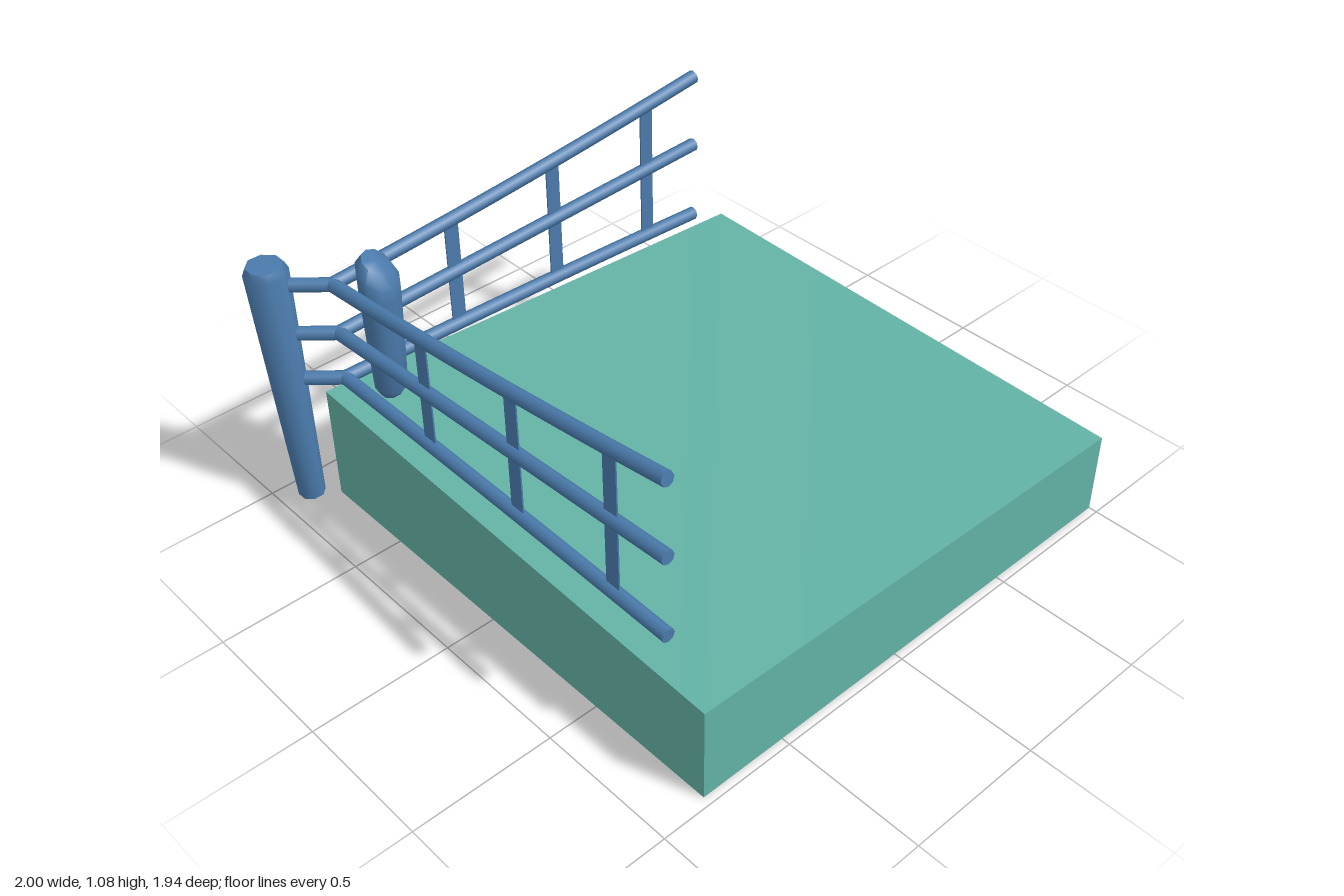
import * as THREE from 'three';
import { toCreasedNormals } from 'three/addons/utils/BufferGeometryUtils.js';

export function createModel() {
  const blue = new THREE.MeshStandardMaterial({ color: 0x4a7aab, side: THREE.DoubleSide });
  blue.name = 'blue';
  const teal = new THREE.MeshStandardMaterial({ color: 0x62b1a4, side: THREE.DoubleSide });
  teal.name = 'teal';

  const root = new THREE.Group();
  root.name = 'ringCorner';
  const V = (x, y, z) => new THREE.Vector3(x, y, z);
  const add = (name, geometry, material = blue) => {
    const mesh = new THREE.Mesh(geometry, material);
    mesh.name = name;
    root.add(mesh);
    return mesh;
  };
  // Apply a rule to every vertex
  const warp = (geometry, rule) => {
    const p = geometry.attributes.position, v = V(0, 0, 0);
    for (let i = 0; i < p.count; i++) {
      rule(v.fromBufferAttribute(p, i));
      p.setXYZ(i, v.x, v.y, v.z);
    }
    geometry.computeVertexNormals();
    return geometry;
  };
  const lathe = (points, sides) =>
    new THREE.LatheGeometry(points.map(([r, y]) => new THREE.Vector2(r, y)), sides);

  // Platform: hollow below, its top rising towards the back corner
  const X0 = -0.82, X1 = 1, Z0 = -0.845, Z1 = 0.97;
  const box = new THREE.BoxGeometry(1, 1, 1);
  box.setIndex([...box.index.array].filter((_, i) => i < 18 || i >= 24)); // no underside
  box.clearGroups();
  warp(box, (v) => {
    const left = v.x > 0, front = v.z > 0;
    const top = left && front ? 0.307 : left || front ? 0.35 : 0.437;
    v.set(left ? X1 : X0, v.y > 0 ? top : 0, front ? Z1 : Z0);
  });
  add('platform', box, teal);

  // Corner post: eight sides, tapering down and leaning slightly outwards
  let post = lathe([[0, 0.03], [0.046, 0.03], [0.073, 0.935], [0.062, 0.96], [0, 0.963]], 8);
  post.rotateY(Math.PI / 8);
  post = warp(post, (v) => {
    v.x += -0.907 - 0.025 * v.y;
    v.z += -0.885 - 0.023 * v.y;
  });
  add('cornerPost', toCreasedNormals(post, 0.9));

  // Corner pad: flattened round column with a top that slopes to the front
  const pad = lathe([[0, 0.47], [0.055, 0.475], [0.075, 0.51], [0.084, 0.68],
    [0.092, 0.86], [0.092, 0.93], [0.062, 0.972], [0, 0.978]], 10);
  warp(pad, (v) => {
    if (v.y > 0.9) v.y -= 0.42 * v.z;
    v.z *= 0.74;
  });
  pad.rotateY(Math.PI / 4).translate(-0.675, 0, -0.668);
  add('cornerPad', toCreasedNormals(pad, 0.9));

  // Ropes: heights at the corner, halfway and at the far end
  const R = 0.024;
  const levels = [
    { name: 'top', y: [0.882, 0.957, 1.06] },
    { name: 'middle', y: [0.695, 0.74, 0.785] },
    { name: 'bottom', y: [0.515, 0.508, 0.49] },
  ];
  const sides = [
    { name: 'Back', at: (t, y) => V(-0.78 + 1.55 * t, y, -0.775 + 0.013 * t) },
    { name: 'Side', at: (t, y) => V(-0.78 - 0.003 * t, y, -0.775 + 1.56 * t) },
  ];
  const ropeCurve = (side, y) => new THREE.QuadraticBezierCurve3(
    side.at(0, y[0]), side.at(0.5, 2 * y[1] - (y[0] + y[2]) / 2), side.at(1, y[2]));

  for (const level of levels) {
    const y = level.y[0];
    // Short tie from the post to the ropes
    const tie = new THREE.LineCurve3(V(-0.92, y, -0.9), V(-0.775, y, -0.77));
    add(level.name + 'Tie', new THREE.TubeGeometry(tie, 1, R, 8));
    add(level.name + 'Knot', new THREE.SphereGeometry(R, 8, 6)).position.set(-0.78, y, -0.775);
    for (const side of sides) {
      const curve = ropeCurve(side, level.y);
      add(level.name + side.name + 'Rope', new THREE.TubeGeometry(curve, 10, R, 8));
      const cap = add(level.name + side.name + 'RopeEnd', new THREE.CircleGeometry(R, 8));
      cap.position.copy(curve.getPoint(1));
      cap.lookAt(cap.position.clone().add(curve.getTangent(1)));
    }
  }

  // Flat straps joining the three ropes on each side
  for (const side of sides) {
    for (const t of [0.3, 0.577, 0.852]) {
      const top = ropeCurve(side, levels[0].y).getPoint(t);
      const bottom = ropeCurve(side, levels[2].y).getPoint(t);
      const strap = add('strap' + side.name, new THREE.BoxGeometry(0.054, top.y - bottom.y, 0.005));
      strap.position.copy(top).add(bottom).multiplyScalar(0.5);
      if (side.name === 'Side') strap.rotation.y = Math.PI / 2;
    }
  }
  return root;
}
